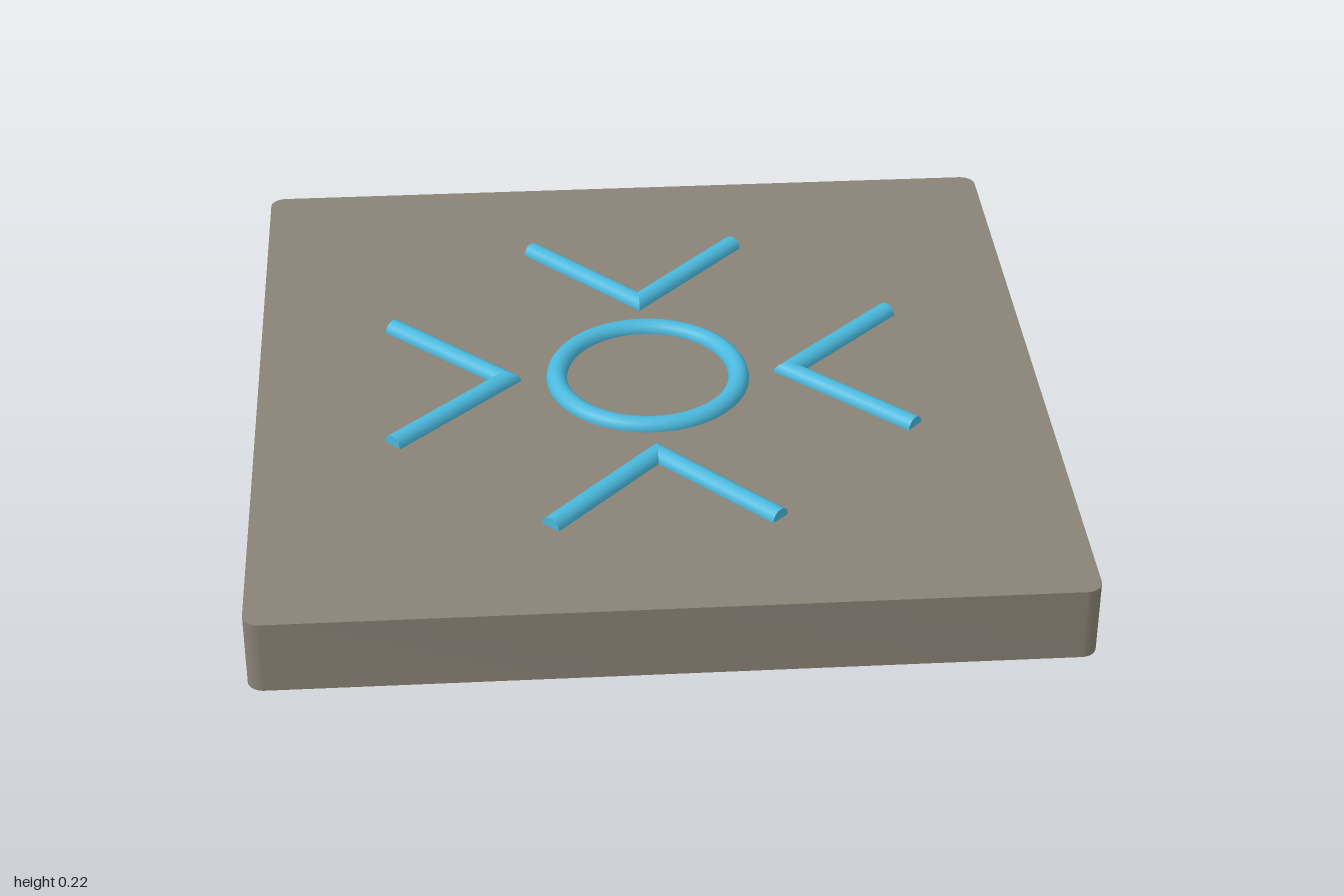
import * as THREE from 'three';
import { toCreasedNormals } from 'three/addons/utils/BufferGeometryUtils.js';

const TOP = 0.19;       // top of the slab
const TUBE = 0.027;     // radius of the inlaid tubes

// Square outline with rounded corners
function roundedSquare(h, r) {
  const s = new THREE.Shape();
  s.absarc(h - r, h - r, r, 0, Math.PI / 2);
  s.absarc(r - h, h - r, r, Math.PI / 2, Math.PI);
  s.absarc(r - h, r - h, r, Math.PI, Math.PI * 1.5);
  s.absarc(h - r, r - h, r, Math.PI * 1.5, Math.PI * 2);
  s.closePath();
  return s;
}

// One arm of a chevron, from the tip outwards, with its tip end mitred on the plane x = 0
function chevronArm(side) {
  const tip = new THREE.Vector3(0, 0, 0.365);
  const end = new THREE.Vector3(0.277 * side, 0, 0.656);
  const dir = end.clone().sub(tip);
  const length = dir.length();
  dir.normalize();
  const geo = new THREE.CylinderGeometry(TUBE, TUBE, length, 16);
  geo.translate(0, length / 2, 0);
  geo.applyQuaternion(new THREE.Quaternion().setFromUnitVectors(new THREE.Vector3(0, 1, 0), dir));
  geo.translate(tip.x, tip.y, tip.z);
  const pos = geo.attributes.position;
  const v = new THREE.Vector3();
  for (let i = 0; i < pos.count; i++) {
    v.fromBufferAttribute(pos, i);
    if (v.clone().sub(tip).dot(dir) < length / 2) {
      v.addScaledVector(dir, -v.x / dir.x);
      pos.setXYZ(i, v.x, v.y, v.z);
    }
  }
  return geo;
}

export function createModel() {
  const model = new THREE.Group();
  model.name = 'floorTile';
  const stone = new THREE.MeshStandardMaterial({ name: 'stone', color: 0x8a8276 });
  const blue = new THREE.MeshStandardMaterial({ name: 'glowBlue', color: 0x4ab8dc });

  // Slab
  const slabGeo = new THREE.ExtrudeGeometry(roundedSquare(1, 0.04), {
    depth: TOP, bevelEnabled: false, curveSegments: 6,
  });
  slabGeo.rotateX(-Math.PI / 2);
  const slab = new THREE.Mesh(toCreasedNormals(slabGeo, 0.6), stone);
  slab.name = 'slab';
  model.add(slab);

  // Central ring, half sunk in the slab
  const ring = new THREE.Mesh(new THREE.TorusGeometry(0.235, TUBE, 16, 48), blue);
  ring.name = 'ring';
  ring.rotation.x = -Math.PI / 2;
  ring.position.y = TOP;
  model.add(ring);

  // Four chevrons pointing at the ring
  ['front', 'left', 'back', 'right'].forEach((place, i) => {
    const chevron = new THREE.Group();
    chevron.name = place + 'Chevron';
    for (const side of [-1, 1]) {
      const arm = new THREE.Mesh(chevronArm(side), blue);
      arm.name = side > 0 ? 'armA' : 'armB';
      chevron.add(arm);
    }
    chevron.position.y = TOP;
    chevron.rotation.y = (i * Math.PI) / 2;
    model.add(chevron);
  });
  return model;
}
